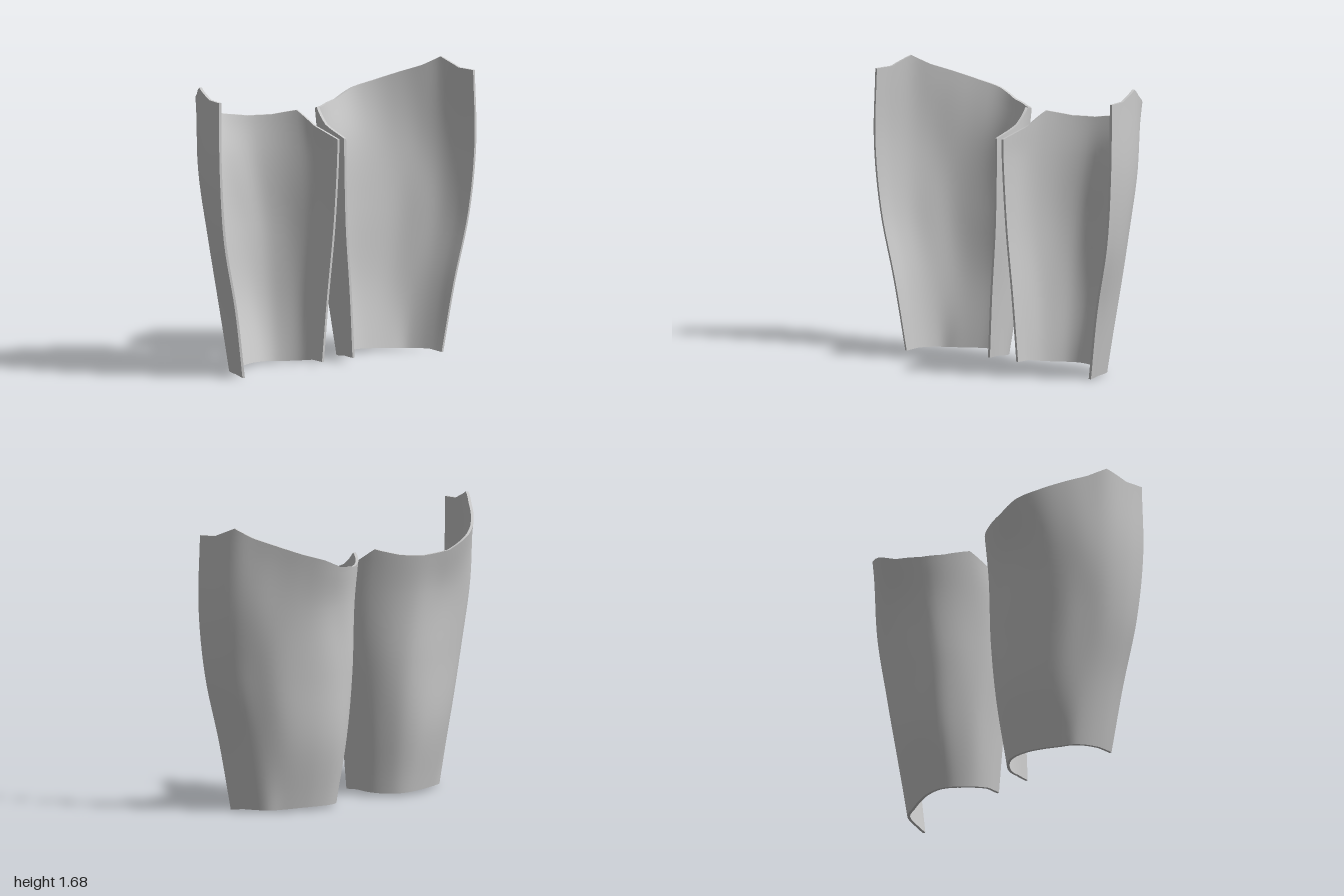
import * as THREE from 'three';

const THICKNESS = 0.016;
const NU = 48, NV = 24;

// Plan sections [x, z] from the outer edge, round the back, to the inner edge
const SECTIONS = [
  [[.775, .26], [.757, .18], [.725, .1], [.68, .04], [.6, 0], [.51, -.04], [.42, -.07], [.32, -.08], [.25, -.06], [.19, -.01], [.14, .06], [.115, .14], [.11, .22]],
  [[.85, .28], [.835, .19], [.80, .1], [.745, .02], [.66, -.06], [.55, -.12], [.43, -.16], [.32, -.165], [.23, -.13], [.16, -.06], [.105, .03], [.085, .13], [.08, .23]],
  [[.948, .295], [.93, .2], [.89, .1], [.82, .01], [.73, -.08], [.6, -.15], [.46, -.195], [.34, -.2], [.23, -.17], [.14, -.09], [.075, .02], [.047, .12], [.04, .24]],
  [[.99, .305], [.972, .19], [.93, .07], [.86, -.03], [.77, -.11], [.66, -.18], [.54, -.225], [.42, -.235], [.28, -.215], [.17, -.14], [.075, -.02], [.03, .09], [.02, .25]],
  [[.988, .295], [.97, .19], [.935, .065], [.87, -.03], [.79, -.13], [.68, -.235], [.56, -.3], [.43, -.3], [.28, -.25], [.17, -.17], [.075, -.05], [.035, .07], [.018, .25]],
];
const BOTTOM = [0, .012, .012, .01, .012, .016, .018, .016, .014, .014, .02, .03, .025];
const RIM = [1.625, 1.63, 1.685, 1.63, 1.59, 1.54, 1.5, 1.445, 1.425, 1.43, 1.46, 1.375, 1.315];

function sample(list, u) {
  const f = u * (list.length - 1), i = Math.min(Math.floor(f), list.length - 2);
  return THREE.MathUtils.lerp(list[i], list[i + 1], f - i);
}

// Outer surface as a grid of points: grid[i][j], i across, j upwards
function outerGrid() {
  const curves = SECTIONS.map(s => new THREE.CatmullRomCurve3(s.map(([x, z]) => new THREE.Vector3(x, 0, z))));
  const grid = [];
  for (let i = 0; i <= NU; i++) {
    const u = i / NU;
    const heights = [sample(BOTTOM, u), .4, .8, 1.2, sample(RIM, u)];
    const column = new THREE.CatmullRomCurve3(curves.map((c, k) => c.getPoint(u).setY(heights[k])));
    grid.push(Array.from({ length: NV + 1 }, (_, j) => column.getPoint(j / NV)));
  }
  return grid;
}

// Inner surface: each point moved inwards, square to its section
function innerGrid(grid) {
  return grid.map((col, i) => col.map((p, j) => {
    const t = grid[Math.min(i + 1, NU)][j].clone().sub(grid[Math.max(i - 1, 0)][j]).setY(0).normalize();
    return new THREE.Vector3(p.x + t.z * THICKNESS, p.y, p.z - t.x * THICKNESS);
  }));
}

// Smooth sheet from a grid of points; flip reverses the facing
function sheet(grid, side, flip) {
  const rows = grid[0].length, pos = [], index = [];
  grid.forEach(col => col.forEach(p => pos.push(p.x * side, p.y, p.z)));
  for (let i = 0; i < grid.length - 1; i++) {
    for (let j = 0; j < rows - 1; j++) {
      const a = i * rows + j, b = a + rows, c = b + 1, d = a + 1;
      if (flip !== (side < 0)) index.push(a, c, b, a, d, c);
      else index.push(a, b, c, a, c, d);
    }
  }
  const g = new THREE.BufferGeometry();
  g.setAttribute('position', new THREE.Float32BufferAttribute(pos, 3));
  g.setIndex(index);
  g.computeVertexNormals();
  return g;
}

export function createModel() {
  const plate = new THREE.MeshStandardMaterial({ color: 0xcccccc });
  plate.name = 'light grey plate';
  const model = new THREE.Group();
  model.name = 'legGuards';

  const outer = outerGrid(), inner = innerGrid(outer);
  const across = j => outer.map((col, i) => [col[j], inner[i][j]]);
  const upwards = i => outer[i].map((p, j) => [p, inner[i][j]]);

  for (const side of [1, -1]) {
    const guard = new THREE.Group();
    guard.name = side > 0 ? 'leftGuard' : 'rightGuard';
    const add = (name, grid, flip) => {
      const mesh = new THREE.Mesh(sheet(grid, side, flip), plate);
      mesh.name = name;
      guard.add(mesh);
    };
    add('outerShell', outer, false);
    add('innerShell', inner, true);
    // Thin edges closing the shell
    add('topRim', across(NV), false);
    add('bottomRim', across(0), true);
    add('outerEdge', upwards(0), false);
    add('innerEdge', upwards(NU), true);
    model.add(guard);
  }
  return model;
}
